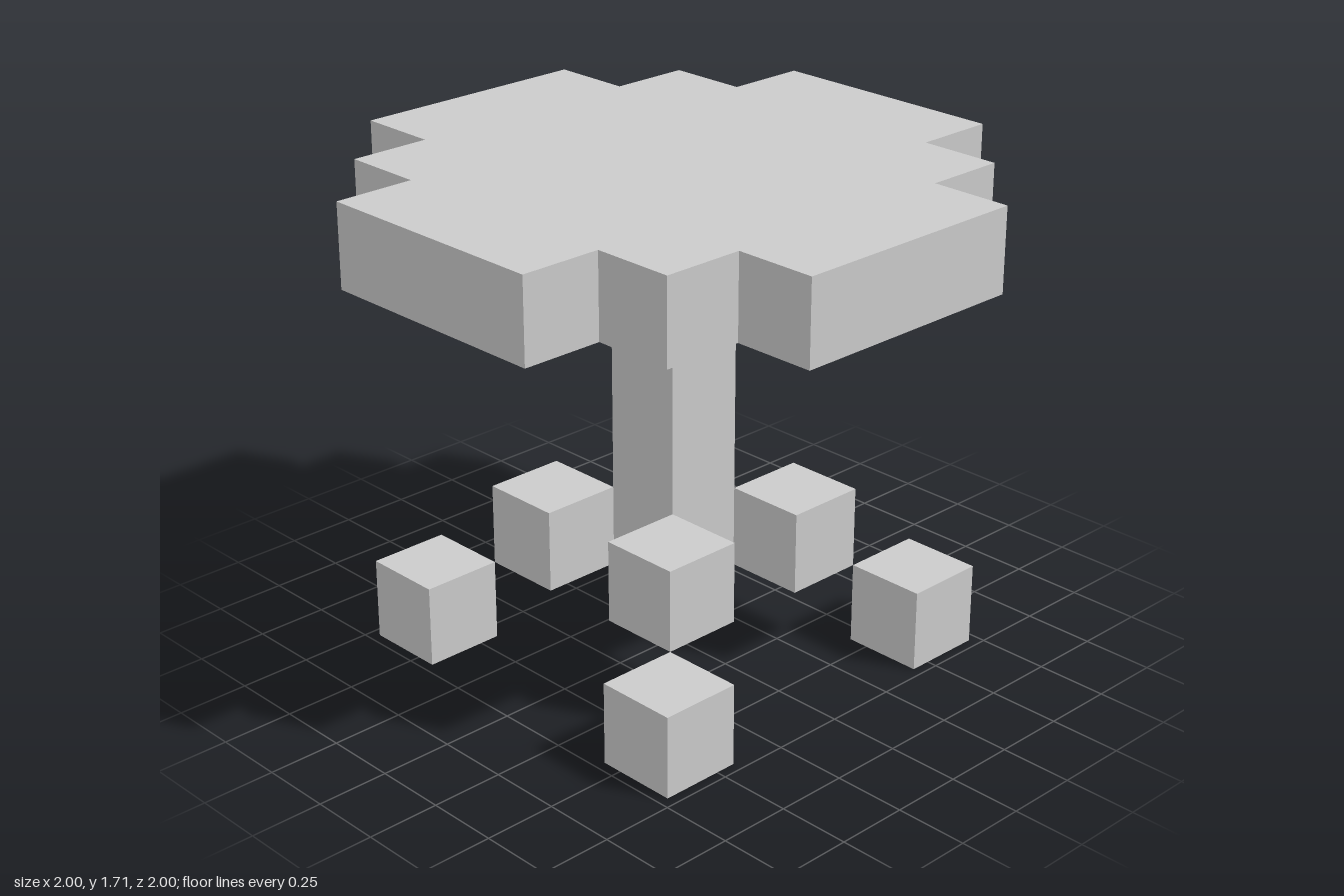
import * as THREE from 'three';

const U = 2 / 7; // edge of one cube

export function createModel() {
  const model = new THREE.Group();
  const material = new THREE.MeshStandardMaterial({ color: 0xcccccc, flatShading: true });

  const add = (name, geometry, x, y, z, parent = model) => {
    const mesh = new THREE.Mesh(geometry, material);
    mesh.name = name;
    mesh.position.set(x, y, z);
    parent.add(mesh);
    return mesh;
  };

  // Stepped round table top: one quadrant's corners, turned four times
  const quadrant = [[3.5, -1.5], [3.5, 1.5], [2.5, 1.5], [2.5, 2.5], [1.5, 2.5]];
  const outline = [];
  for (let q = 0; q < 4; q++) {
    for (const [x, y] of quadrant) {
      outline.push(new THREE.Vector2(x * U, y * U).rotateAround(new THREE.Vector2(), q * Math.PI / 2));
    }
  }
  const topGeometry = new THREE.ExtrudeGeometry(new THREE.Shape(outline), { depth: U, bevelEnabled: false });
  topGeometry.rotateX(-Math.PI / 2);
  add('tableTop', topGeometry, 0, 5 * U, 0);

  // Central column
  add('column', new THREE.BoxGeometry(U, 4 * U, U), 0, 3 * U, 0);

  // Four diagonal legs, each a knee cube stepping down to a foot cube
  const cube = new THREE.BoxGeometry(U, U, U);
  for (const sx of [-1, 1]) {
    for (const sz of [-1, 1]) {
      const leg = new THREE.Group();
      leg.name = `${sz > 0 ? 'front' : 'back'}${sx > 0 ? 'Left' : 'Right'}Leg`;
      add('knee', cube, sx * U, 1.5 * U, sz * U, leg);
      add('foot', cube, sx * 2 * U, 0.5 * U, sz * 2 * U, leg);
      model.add(leg);
    }
  }

  return model;
}
